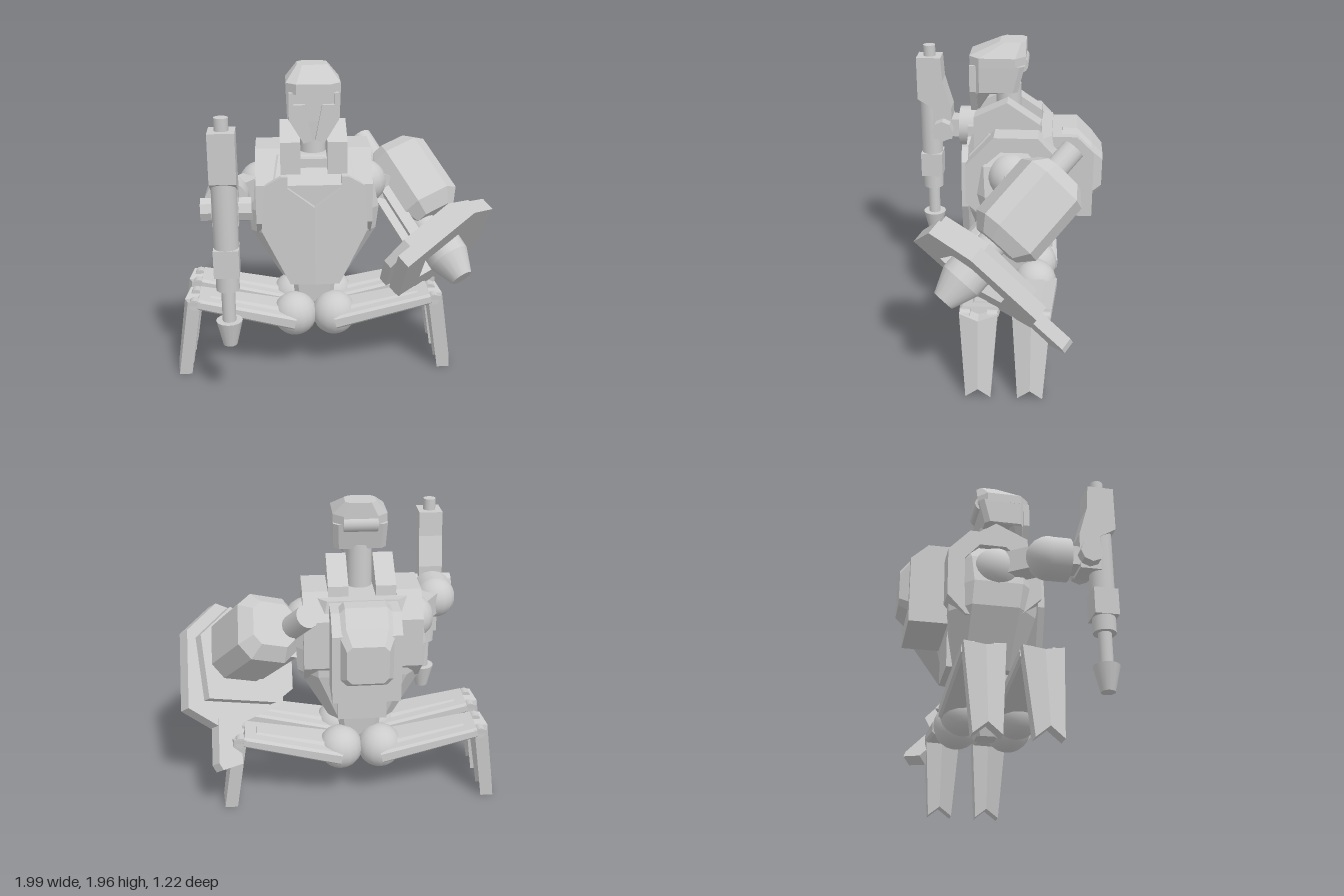
import * as THREE from 'three';

const flat = new THREE.MeshStandardMaterial({ color: 0xcccccc, flatShading: true, side: THREE.DoubleSide });
const smooth = new THREE.MeshStandardMaterial({ color: 0xcccccc });
const CX = -0.125; // centre line of the body

function add(parent, name, geo, pos = [0, 0, 0], mat = flat) {
  const m = new THREE.Mesh(geo, mat);
  m.name = name;
  m.position.set(...pos);
  parent.add(m);
  return m;
}
const box = (w, h, d) => new THREE.BoxGeometry(w, h, d);
const ball = (r) => new THREE.SphereGeometry(r, 16, 12);
const cyl = (rTop, rBottom, h, n = 16) => new THREE.CylinderGeometry(rTop, rBottom, h, n);

// Flat outline in x/y, extruded along z and centred on z = 0
function plate(pts, depth, hole) {
  const s = new THREE.Shape(pts.map((p) => new THREE.Vector2(...p)));
  if (hole) s.holes.push(new THREE.Path(hole.map((p) => new THREE.Vector2(...p))));
  return new THREE.ExtrudeGeometry(s, { depth, bevelEnabled: false }).translate(0, 0, -depth / 2);
}
// Outline in z/y, extruded along x
const sidePlate = (pts, depth, hole) => plate(pts, depth, hole).rotateY(-Math.PI / 2);

// Octagonal sections [t, x0, x1, y0, y1, chamfer] joined along z
function loft(sections) {
  const pos = [], idx = [], n = 8;
  for (const [t, x0, x1, y0, y1, c] of sections) {
    for (const [x, y] of [[x1, y0 + c], [x1, y1 - c], [x1 - c, y1], [x0 + c, y1],
      [x0, y1 - c], [x0, y0 + c], [x0 + c, y0], [x1 - c, y0]]) pos.push(x, y, t);
  }
  for (let k = 0; k < sections.length - 1; k++) {
    for (let i = 0; i < n; i++) {
      const a = k * n + i, b = k * n + (i + 1) % n;
      idx.push(a, b, b + n, a, b + n, a + n);
    }
  }
  const e = (sections.length - 1) * n;
  for (let i = 1; i < n - 1; i++) idx.push(0, i + 1, i, e, e + i, e + i + 1);
  const g = new THREE.BufferGeometry();
  g.setAttribute('position', new THREE.Float32BufferAttribute(pos, 3));
  g.setIndex(idx);
  const out = g.toNonIndexed();
  out.computeVertexNormals();
  return out;
}
// Sections [y, halfWidth, zBack, zFront, chamfer] joined upwards
const tower = (rows) => loft(rows.map(([y, w, zb, zf, c]) => [y, -w, w, -zf, -zb, c])).rotateX(-Math.PI / 2);

// Bar between two points
function bar(parent, name, a, b, w, h) {
  const A = new THREE.Vector3(...a), B = new THREE.Vector3(...b);
  const m = add(parent, name, box(w, h, A.distanceTo(B)));
  m.position.copy(A).add(B).multiplyScalar(0.5);
  m.lookAt(B);
}

function makeBody() {
  const g = new THREE.Group();
  g.name = 'body';
  g.position.x = CX;
  add(g, 'torso', tower([[0.63, 0.2, -0.28, 0.1, 0.06], [0.95, 0.385, -0.33, 0.19, 0.12], [1.1, 0.4, -0.33, 0.22, 0.13],
    [1.28, 0.36, -0.33, 0.22, 0.12], [1.43, 0.27, -0.3, 0.08, 0.06]]));
  add(g, 'waist', tower([[0.27, 0.06, -0.12, 0, 0.02], [0.45, 0.12, -0.18, 0.07, 0.03], [0.67, 0.14, -0.2, 0.09, 0.03]]));
  add(g, 'waistBack', box(0.3, 0.3, 0.07), [0, 0.8, -0.285]);
  for (const s of [-1, 1]) {
    // Half of the chest plate, creased along the centre line
    const chest = plate([[0, 1.15], [0.16, 1.27], [0.16, 1.34], [0.2, 1.34], [0.3, 1.28], [0.32, 1.0], [0.15, 0.65], [0, 0.65]]
      .map(([x, y]) => [s * x, y]), 0.04);
    const p = chest.attributes.position;
    for (let i = 0; i < p.count; i++) p.setZ(i, p.getZ(i) + 0.235 - 0.06 * Math.abs(p.getX(i)));
    chest.computeVertexNormals();
    add(g, 'chestPlate', chest);
    // Octagonal frame around each shoulder joint
    add(g, 'shoulderFrame', sidePlate(
      [[0.04, 1.46], [-0.22, 1.46], [-0.35, 1.32], [-0.35, 1.02], [-0.24, 0.9], [0.06, 0.9], [0.21, 1.04], [0.21, 1.28]], 0.15,
      [[0, 1.37], [0.11, 1.27], [0.11, 1.1], [0, 1.0], [-0.16, 1.0], [-0.25, 1.1], [-0.25, 1.27], [-0.16, 1.37]]),
    [s * 0.275, 0, 0]);
    add(g, 'shoulderJoint', ball(0.14), [s * 0.32, 1.21, -0.06], smooth);
    add(g, 'collar', sidePlate([[0.17, 1.53], [-0.03, 1.625], [-0.23, 1.49], [-0.25, 1.3], [0.17, 1.28]], 0.12), [s * 0.14, 0, 0]);
  }
  add(g, 'collarBase', box(0.16, 0.12, 0.36), [0, 1.36, -0.04]);
  add(g, 'neck', cyl(0.075, 0.08, 0.32), [0, 1.53, -0.03], smooth);
  add(g, 'backpack', sidePlate([[-0.3, 0.9], [-0.555, 0.9], [-0.555, 1.32], [-0.45, 1.42], [-0.3, 1.42]], 0.4));
  add(g, 'backpackPanel', loft([[-0.61, -0.12, 0.12, 1.05, 1.28, 0.03], [-0.54, -0.16, 0.16, 1.0, 1.36, 0.04],
    [-0.45, -0.16, 0.16, 1.0, 1.45, 0.04], [-0.36, -0.16, 0.16, 1.0, 1.45, 0.04]]));
  return g;
}

function makeHead() {
  const g = new THREE.Group();
  g.name = 'head';
  g.position.x = CX;
  add(g, 'helmet', tower([[1.82, 0.16, -0.135, 0.2, 0.06], [1.88, 0.16, -0.135, 0.2, 0.06], [1.96, 0.09, -0.135, 0.02, 0.03]]));
  add(g, 'face', tower([[1.54, 0.06, 0.145, 0.165, 0.005], [1.66, 0.145, 0.075, 0.17, 0.02], [1.67, 0.155, -0.09, 0.17, 0.03],
    [1.83, 0.16, -0.13, 0.17, 0.03]]));
  add(g, 'nose', box(0.06, 0.13, 0.03), [0, 1.77, 0.175]);
  const pad = add(g, 'headBackPad', cyl(0.05, 0.05, 0.2), [0, 1.83, -0.1], smooth);
  pad.rotation.z = Math.PI / 2;
  for (const s of [-1, 1]) {
    add(g, 'cheek', plate([[s * 0.008, 1.55], [s * 0.06, 1.53], [s * 0.145, 1.67], [s * 0.145, 1.83],
      [s * 0.12, 1.83], [s * 0.12, 1.76], [s * 0.05, 1.76]], 0.04), [0, 0, 0.178]);
  }
  return g;
}

// Leg reaching sideways from the centre line; s is the side
function makeLeg(s, z) {
  const g = new THREE.Group();
  g.name = 'leg';
  g.position.set(CX, 0, z);
  const reach = (geo) => geo.rotateX(-0.215).rotateY(s * Math.PI / 2);
  add(g, 'hipJoint', ball(0.14), [s * 0.125, 0.385, 0], smooth);
  add(g, 'thigh', reach(loft([[0, -0.145, 0.145, -0.045, 0.04, 0.015], [0.62, -0.115, 0.115, -0.035, 0.035, 0.015]])), [s * 0.125, 0.375, 0]);
  add(g, 'thighRidge', reach(loft([[0, -0.08, 0.08, 0, 0.06, 0.02], [0.55, -0.05, 0.05, 0, 0.045, 0.015]])), [s * 0.125, 0.375, 0]);
  for (const e of [-1, 1]) {
    const knee = add(g, 'kneeHinge', cyl(0.035, 0.035, 0.06, 12), [s * 0.75, 0.505, e * 0.08], smooth);
    knee.rotation.x = Math.PI / 2;
    // Half of the shin: ridged outwards at the middle, forked at the foot
    const half = sidePlate([[0, 0.5], [e * 0.112, 0.53], [e * 0.075, 0.005], [0, 0.065]], 0.08);
    const p = half.attributes.position;
    for (let i = 0; i < p.count; i++) {
      const out = 0.025 * (1 - Math.abs(p.getZ(i)) / 0.112);
      const lean = 0.075 * (0.53 - p.getY(i)) / 0.53;
      p.setX(i, p.getX(i) + s * (0.75 + out + lean));
    }
    half.computeVertexNormals();
    add(g, 'shin', half);
  }
  return g;
}

function makeRightArm() {
  const g = new THREE.Group();
  g.name = 'rightArm';
  bar(g, 'upperArm', [-0.46, 1.22, -0.04], [-0.63, 1.22, 0.2], 0.13, 0.14);
  add(g, 'elbow', ball(0.13), [-0.64, 1.22, 0.21], smooth);
  add(g, 'forearm', cyl(0.13, 0.13, 0.12).rotateX(Math.PI / 2), [-0.64, 1.22, 0.27], smooth);
  add(g, 'wrist', box(0.14, 0.12, 0.14), [-0.64, 1.22, 0.38]);
  add(g, 'grip', cyl(0.07, 0.07, 0.29, 8).rotateZ(Math.PI / 2), [-0.635, 1.22, 0.44]);
  // Upright weapon held in the hand
  const w = new THREE.Group();
  w.name = 'weapon';
  w.position.set(-0.64, 0, 0.53);
  g.add(w);
  add(w, 'weaponStock', sidePlate([[0.08, 1.705], [-0.08, 1.705], [-0.09, 1.55], [-0.145, 1.36], [-0.145, 1.14], [-0.02, 1.14], [-0.02, 1.36], [0.08, 1.42]], 0.15));
  add(w, 'weaponTube', cyl(0.072, 0.072, 0.42), [0, 1.21, 0], smooth);
  add(w, 'weaponCap', cyl(0.04, 0.04, 0.08), [0, 1.737, 0], smooth);
  add(w, 'weaponBlock', box(0.145, 0.165, 0.145), [0, 0.942, 0]);
  add(w, 'weaponCollar', cyl(0.068, 0.068, 0.1), [0, 0.815, 0], smooth);
  add(w, 'barrel', cyl(0.04, 0.04, 0.24), [0, 0.66, 0], smooth);
  add(w, 'muzzle', cyl(0.078, 0.042, 0.155), [0, 0.487, 0], smooth);
  return g;
}

function makeLeftArm() {
  const g = new THREE.Group();
  g.name = 'leftArm';
  bar(g, 'upperArm', [0.22, 1.21, -0.06], [0.4, 1.13, -0.16], 0.15, 0.15);
  // Arm axis: local z runs down, outward and forward
  const a = new THREE.Group();
  a.name = 'forearm';
  const d = new THREE.Vector3(0.45, -0.63, 0.63).normalize();
  const v = new THREE.Vector3(0, 1, 1).normalize();
  const u = new THREE.Vector3().crossVectors(v, d);
  a.quaternion.setFromRotationMatrix(new THREE.Matrix4().makeBasis(u, v, d));
  a.position.set(0.39, 1.14, -0.17);
  g.add(a);
  const rod = (name, r0, r1, s0, s1, x) => add(a, name, cyl(r1, r0, s1 - s0).rotateX(Math.PI / 2), [x, 0, (s0 + s1) / 2], smooth);
  rod('rearPipe', 0.07, 0.07, -0.41, -0.1, 0);
  rod('forearmCore', 0.09, 0.09, -0.1, 0.5, 0.03);
  rod('nozzleBase', 0.13, 0.13, 0.48, 0.6, 0.055);
  rod('nozzle', 0.13, 0.068, 0.6, 0.75, 0.055);
  add(a, 'armBlock', loft([[-0.23, -0.01, 0.25, -0.13, 0.13, 0.05], [-0.15, -0.06, 0.31, -0.2, 0.2, 0.08],
    [0.24, -0.06, 0.31, -0.2, 0.2, 0.08], [0.32, -0.01, 0.25, -0.13, 0.13, 0.05]]));
  for (const e of [-1, 1]) add(a, 'armStrut', box(0.07, 0.04, 0.5), [-0.08, e * 0.1, 0.2]);
  // Shield with a recessed centre, turned slightly off the arm axis
  const sh = new THREE.Group();
  sh.name = 'shieldAssembly';
  sh.position.z = 0.515;
  sh.rotation.y = 0.17;
  a.add(sh);
  add(sh, 'shield', plate([[0.21, 0.36], [0.42, 0.14], [0.41, -0.36], [0.14, -0.47], [-0.3, -0.24], [-0.3, 0.28]], 0.09,
    [[0.18, 0.17], [0.27, 0.06], [0.25, -0.2], [0.1, -0.25], [-0.14, -0.13], [-0.14, 0.13]]));
  add(sh, 'shieldBack', plate([[0.14, 0.33], [-0.2, 0.27], [-0.34, 0.15], [-0.34, -0.15], [-0.2, -0.26], [0.3, -0.3], [0.36, 0.1]], 0.06), [0, 0, -0.075]);
  add(sh, 'shieldTail', plate([[0.03, -0.4], [0.2, -0.4], [0.2, -0.68], [0.17, -0.72], [0.03, -0.67]], 0.08), [0, 0, -0.01]);
  return g;
}

export function createModel() {
  const model = new THREE.Group();
  model.name = 'robot';
  model.add(makeBody(), makeHead(), makeRightArm(), makeLeftArm());
  for (const s of [-1, 1]) for (const z of [0.1, -0.21]) model.add(makeLeg(s, z));
  return model;
}
